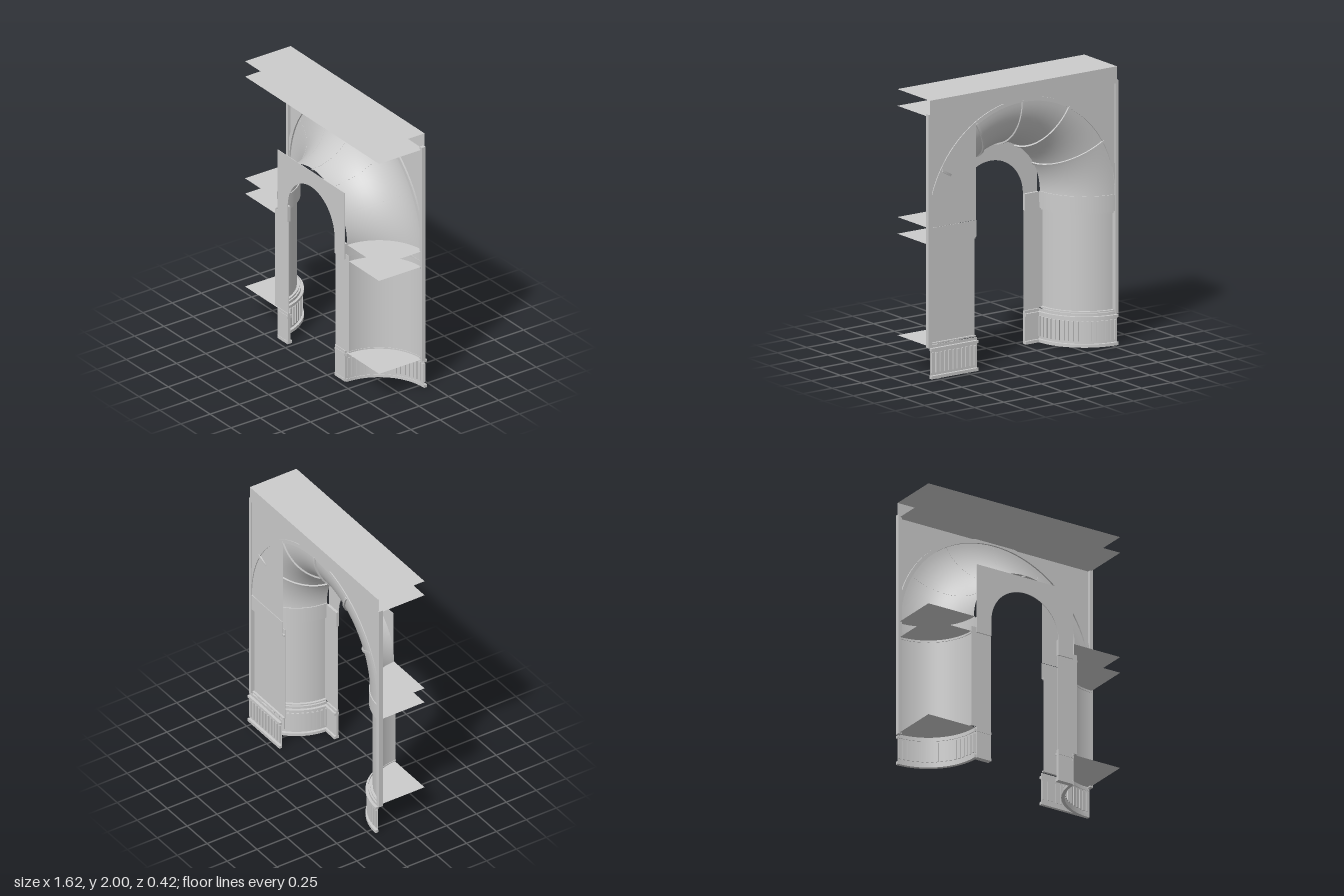
import * as THREE from 'three';

export function createModel() {
  const model = new THREE.Group();
  const stone = new THREE.MeshStandardMaterial({ color: 0xcccccc, side: THREE.DoubleSide });
  stone.name = 'stone';
  const SPRING = 1.08;          // height of the arch centre
  const CX = 0.8, CZ = 0.2;     // centre of the quarter-round jambs in plan

  const add = (name, geo, parent = model) => {
    const mesh = new THREE.Mesh(geo, stone);
    mesh.name = name;
    parent.add(mesh);
    return mesh;
  };
  // box given by its limits
  const box = (name, x0, x1, y0, y1, z0, z1, parent) =>
    add(name, new THREE.BoxGeometry(x1 - x0, y1 - y0, z1 - z0)
      .translate((x0 + x1) / 2, (y0 + y1) / 2, (z0 + z1) / 2), parent);
  // quarter-round band in plan
  const bandGeo = (rIn, rOut, y0, y1) => {
    const s = new THREE.Shape();
    s.absarc(CX, CZ, rOut, Math.PI, 1.5 * Math.PI, false);
    s.absarc(CX, CZ, rIn, 1.5 * Math.PI, Math.PI, true);
    return new THREE.ExtrudeGeometry(s, { depth: y1 - y0, bevelEnabled: false, curveSegments: 20 })
      .rotateX(Math.PI / 2).translate(0, y1, 0);
  };
  // open, smooth quarter-round wall
  const wallGeo = (r, y0, y1) =>
    new THREE.CylinderGeometry(r, r, y1 - y0, 24, 1, true, Math.PI, Math.PI / 2)
      .translate(CX, (y0 + y1) / 2, CZ);

  // curved jambs and inner door posts, mirrored
  for (const side of [1, -1]) {
    const g = new THREE.Group();
    g.name = side > 0 ? 'leftJamb' : 'rightJamb';
    g.scale.x = side;
    model.add(g);

    add('shaft', wallGeo(0.36, 0.24, 1.0), g);
    add('belt', wallGeo(0.387, 0.96, SPRING), g);
    add('pedestal', wallGeo(0.39, 0, 0.24), g);
    add('bottomRail', bandGeo(0.386, 0.41, 0, 0.022), g);
    add('topRail', bandGeo(0.386, 0.41, 0.2, 0.22), g);
    add('upperBead', bandGeo(0.356, 0.372, 0.945, 0.96), g);
    add('lowerBead', bandGeo(0.356, 0.378, 0.24, 0.25), g);

    // horizontal ledges behind the curved faces
    for (const [y, r] of [[0.23, 0.39], [0.96, 0.387], [SPRING, 0.387]])
      add('ledge', new THREE.CircleGeometry(r, 24, Math.PI, Math.PI / 2)
        .rotateX(Math.PI / 2).translate(CX, y, CZ), g);

    // upright bars around the pedestal
    for (let i = 0; i < 18; i++) {
      const a = Math.PI + (i + 0.5) / 18 * Math.PI / 2;
      const bar = add('pedestalBar', new THREE.BoxGeometry(0.02, 0.145, 0.016), g);
      bar.position.set(CX + 0.392 * Math.cos(a), 0.113, CZ + 0.392 * Math.sin(a));
      bar.rotation.y = -a;
    }

    box('doorPost', 0.28, 0.44, 0.24, 1.0, 0.197, 0.2, g);
    box('doorPostBase', 0.28, 0.4, 0, 0.24, 0.185, 0.205, g);
    box('doorPostPlinth', 0.28, 0.4, 0, 0.022, 0.17, 0.208, g);
    box('doorPostRail', 0.28, 0.4, 0.2, 0.22, 0.17, 0.208, g);
    box('impost', 0.28, 0.4, 0.96, SPRING, 0.185, 0.208, g);

    box('cornerStrip', 0.785, 0.812, 0.22, 1.9, -0.19, -0.157, g);
  }

  // flat pier in front of one jamb
  const pier = new THREE.Group();
  pier.name = 'flatPier';
  model.add(pier);
  box('pierShaft', 0.4, 0.8, 0.24, 1.0, -0.163, -0.16, pier);
  box('pierBelt', 0.4, 0.8, 0.96, SPRING, -0.187, -0.184, pier);
  box('pierPedestal', 0.4, 0.8, 0, 0.24, -0.19, -0.187, pier);
  box('pierBottomRail', 0.4, 0.8, 0, 0.022, -0.21, -0.187, pier);
  box('pierTopRail', 0.4, 0.8, 0.2, 0.22, -0.21, -0.187, pier);
  box('pierUpperBead', 0.4, 0.8, 0.945, 0.96, -0.175, -0.16, pier);
  box('pierLowerBead', 0.4, 0.8, 0.24, 0.25, -0.178, -0.16, pier);
  for (let i = 0; i < 11; i++) {
    const x = 0.4 + (i + 0.5) / 11 * 0.4;
    box('pierBar', x - 0.008, x + 0.008, 0.04, 0.185, -0.202, -0.184, pier);
  }

  // wall around the arch, filled in above the flat pier
  const R = 0.79, wall = new THREE.Shape();
  wall.moveTo(-0.8, SPRING);
  wall.lineTo(-R, SPRING);
  wall.absarc(0, SPRING, R, Math.PI, Math.acos(0.4 / R), true);
  wall.lineTo(0.4, SPRING);
  wall.lineTo(0.8, SPRING);
  wall.lineTo(0.8, 1.89);
  wall.lineTo(-0.8, 1.89);
  add('archWall', new THREE.ShapeGeometry(wall, 32).rotateY(Math.PI).scale(-1, 1, 1).translate(0, 0, -0.18));

  // frieze with its two ledges
  box('frieze', -0.8, 0.8, 1.88, 2, -0.19, -0.187);
  for (const y of [1.88, 2])
    add('friezeLedge', new THREE.PlaneGeometry(1.6, 0.39).rotateX(-Math.PI / 2).translate(0, y, 0.005));

  // moulding around the arch, cut off where it meets the corner strips
  const ring = new THREE.Shape(), cut = Math.acos(0.785 / 0.815);
  ring.absarc(0, SPRING, 0.815, cut, Math.PI - cut, false);
  ring.absarc(0, SPRING, 0.787, Math.PI, 0, true);
  add('archMoulding', new THREE.ExtrudeGeometry(ring, { depth: 0.02, bevelEnabled: false, curveSegments: 24 })
    .translate(0, 0, -0.187));

  // flared vault: quarter-round profile swept around the arch
  const profile = [];
  for (let i = 0; i <= 16; i++) {
    const a = Math.PI + i / 16 * Math.PI / 2;
    profile.push(new THREE.Vector2(CX + 0.38 * Math.cos(a), CZ + 0.38 * Math.sin(a)));
  }
  add('flaredVault', new THREE.LatheGeometry(profile, 32, Math.PI / 2, Math.PI)
    .rotateX(Math.PI / 2).translate(0, SPRING, 0));

  // vault ribs
  for (let i = 1; i <= 5; i++) {
    const rib = add('vaultRib', bandGeo(0.379, 0.392, -0.008, 0.008));
    rib.rotation.z = i * Math.PI / 6;
    rib.position.y = SPRING;
  }

  // door head with round opening
  const head = new THREE.Shape();
  head.moveTo(0.28, SPRING);
  head.lineTo(0.4, SPRING);
  head.lineTo(0.4, 1.48);
  head.lineTo(-0.4, 1.48);
  head.lineTo(-0.4, SPRING);
  head.lineTo(-0.28, SPRING);
  head.absarc(0, SPRING, 0.28, Math.PI, 0, true);
  add('doorHead', new THREE.ExtrudeGeometry(head, { depth: 0.004, bevelEnabled: false, curveSegments: 24 })
    .translate(0, 0, 0.204));

  return model;
}
